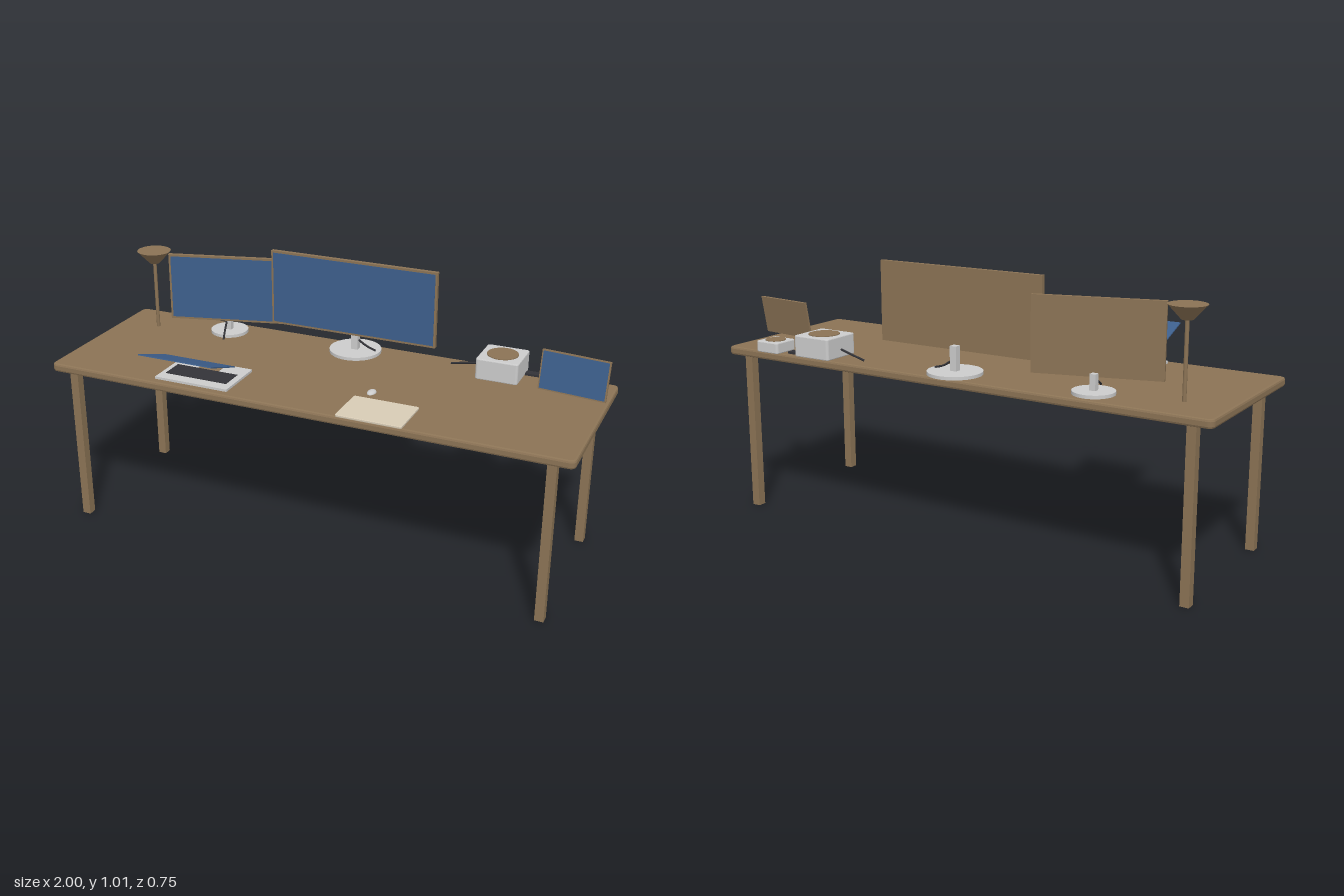
import * as THREE from 'three';

const mat = (color) => new THREE.MeshStandardMaterial({ color });
const wood = mat(0x8b7355), blue = mat(0x3d5f8c), grey = mat(0xcccccc);
const dark = mat(0x333338), cream = mat(0xd8ccb6);
const TOP = 0.642; // desk surface height

function add(parent, name, geometry, material, x = 0, y = 0, z = 0) {
  const mesh = new THREE.Mesh(geometry, material);
  mesh.name = name;
  mesh.position.set(x, y, z);
  parent.add(mesh);
  return mesh;
}

// Box given by its extents along each axis
function block(parent, name, material, [x0, x1], [y0, y1], [z0, z1]) {
  return add(parent, name, new THREE.BoxGeometry(x1 - x0, y1 - y0, z1 - z0), material,
    (x0 + x1) / 2, (y0 + y1) / 2, (z0 + z1) / 2);
}

function group(parent, name) {
  const g = new THREE.Group();
  g.name = name;
  parent.add(g);
  return g;
}

// Rectangle with rounded corners, lying flat in XY
function roundedRect(w, h, r) {
  const s = new THREE.Shape(), a = w / 2, b = h / 2;
  s.absarc(a - r, b - r, r, 0, Math.PI / 2);
  s.absarc(-a + r, b - r, r, Math.PI / 2, Math.PI);
  s.absarc(-a + r, -b + r, r, Math.PI, Math.PI * 1.5);
  s.absarc(a - r, -b + r, r, Math.PI * 1.5, Math.PI * 2);
  return s;
}

// Flat rounded slab with bevelled rims, standing on y = 0
function slab(w, h, d, r, bevel) {
  const geo = new THREE.ExtrudeGeometry(roundedRect(w - 2 * bevel, d - 2 * bevel, r), {
    depth: h - 2 * bevel, bevelSize: bevel, bevelThickness: bevel, bevelSegments: 2, curveSegments: 5,
  });
  geo.rotateX(-Math.PI / 2);
  geo.translate(0, bevel, 0);
  return geo;
}

// Framed panel with a screen on its +z face
function screen(parent, name, w, h, t, border) {
  const g = group(parent, name);
  add(g, 'casing', new THREE.BoxGeometry(w, h, t), wood);
  add(g, 'display', new THREE.BoxGeometry(w - 2 * border, h - 2 * border, 0.002), blue, 0, 0, t / 2);
  return g;
}

function cable(parent, points) {
  const curve = new THREE.CatmullRomCurve3(points.map((p) => new THREE.Vector3(...p)));
  add(parent, 'cable', new THREE.TubeGeometry(curve, 14, 0.004, 6), dark);
}

// Round foot with a square post
function stand(parent, name, x, z, r, postTop, postSize) {
  const g = group(parent, name);
  add(g, 'foot', new THREE.CylinderGeometry(r, r, 0.012, 40), grey, x, TOP + 0.006, z);
  block(g, 'post', grey, [x - postSize / 2, x + postSize / 2], [TOP, postTop],
    [z - postSize / 2, z + postSize / 2]);
}

// Box with a round pad on its lid
function padBox(parent, name, x, z, w, h, padRadius) {
  const g = group(parent, name);
  g.position.set(x, TOP, z);
  add(g, 'body', slab(w, h, w, 0.006, 0.004), grey);
  add(g, 'roundPad', new THREE.CylinderGeometry(padRadius, padRadius, 0.004, 32), wood, 0, h + 0.001, 0);
}

export function createModel() {
  const model = new THREE.Group();
  model.name = 'desk';

  // Table
  add(model, 'tabletop', slab(2, 0.032, 0.665, 0.014, 0.008), wood, 0, 0.61, -0.028);
  for (const x of [-0.92, 0.92])
    for (const z of [0.262, -0.319])
      add(model, 'leg', new THREE.BoxGeometry(0.033, 0.615, 0.033), wood, x, 0.3075, z);

  // Main and side monitors
  screen(model, 'mainMonitor', 0.67, 0.293, 0.016, 0.008).position.set(0, 0.868, -0.243);
  stand(model, 'mainMonitorStand', 0, -0.275, 0.1, 0.743, 0.026);
  cable(model, [[0.01, 0.69, -0.278], [0.045, 0.668, -0.28], [0.085, 0.656, -0.275]]);
  const side = screen(model, 'sideMonitor', 0.45, 0.265, 0.015, 0.008);
  side.position.set(-0.5425, 0.828, -0.245);
  side.rotation.y = 0.265;
  stand(model, 'sideMonitorStand', -0.542, -0.265, 0.074, 0.71, 0.022);
  cable(model, [[-0.55, 0.685, -0.255], [-0.53, 0.665, -0.2], [-0.512, 0.648, -0.155]]);

  // Floor-style lamp with a conical shade
  const lamp = group(model, 'lamp');
  lamp.position.set(-0.835, 0, -0.2);
  add(lamp, 'pole', new THREE.CylinderGeometry(0.007, 0.007, 0.27, 12), wood, 0, 0.777, 0);
  add(lamp, 'shade', new THREE.CylinderGeometry(0.066, 0.02, 0.05, 32), wood, 0, 0.935, 0);

  // Open laptop, its lid raised above the keyboard's far edge
  const laptop = group(model, 'laptop');
  block(laptop, 'base', grey, [-0.565, -0.27], [TOP, 0.651], [0.07, 0.272]);
  block(laptop, 'keyboard', dark, [-0.545, -0.295], [0.648, 0.653], [0.14, 0.228]);
  block(laptop, 'touchpad', wood, [-0.46, -0.375], [0.648, 0.652], [0.1, 0.138]);
  const lid = add(laptop, 'lid', new THREE.BoxGeometry(0.295, 0.004, 0.183), blue, -0.4175, 0.743, 0.287);
  lid.rotation.x = -0.35;

  // Closed notebook computer and mouse
  add(model, 'closedNotebook', slab(0.245, 0.009, 0.176, 0.006, 0.002), cream, 0.288, TOP, 0.218);
  const mouse = add(model, 'mouse', new THREE.SphereGeometry(1, 20, 8, 0, Math.PI * 2, 0, Math.PI / 2), grey,
    0.206, TOP, 0.066);
  mouse.scale.set(0.016, 0.01, 0.025);

  // Two boxes with round pads, and the small adapter between them
  padBox(model, 'largeBox', 0.582, -0.283, 0.16, 0.08, 0.058);
  padBox(model, 'smallBox', 0.788, -0.323, 0.104, 0.042, 0.038);
  block(model, 'adapter', dark, [0.66, 0.715], [TOP, 0.65], [-0.34, -0.31]);
  cable(model, [[0.5, 0.673, -0.286], [0.44, 0.66, -0.294], [0.38, 0.647, -0.3]]);

  // Small leaning screen
  const small = screen(model, 'leaningScreen', 0.25, 0.146, 0.008, 0.005);
  small.position.set(0.874, 0.736, -0.161);
  small.rotation.set(-0.17, -0.11, 0, 'YXZ');

  return model;
}
